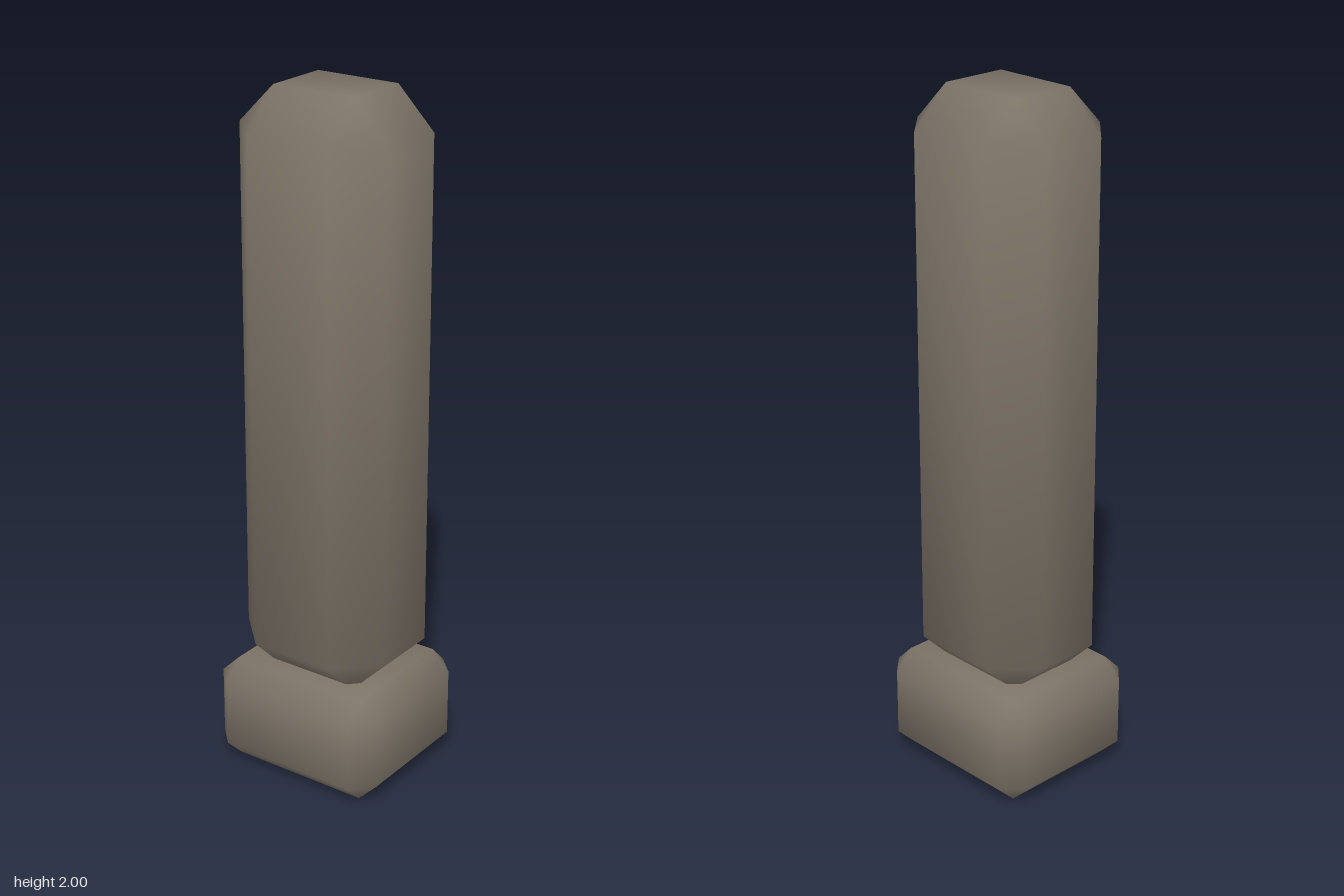
import * as THREE from 'three';
import { ConvexGeometry } from 'three/addons/geometries/ConvexGeometry.js';

// Box with every edge cut by one bevel and soft normals across all faces
function bevelledBox(hx, hy, hz, bevel) {
  const half = [hx, hy, hz];
  const points = [];
  for (const sx of [-1, 1]) for (const sy of [-1, 1]) for (const sz of [-1, 1]) {
    const sign = [sx, sy, sz];
    // each corner becomes three points, one on each adjoining face
    for (let axis = 0; axis < 3; axis++) {
      points.push(new THREE.Vector3(...half.map((h, i) => sign[i] * (i === axis ? h : h - bevel))));
    }
  }
  const geometry = new ConvexGeometry(points);

  // Blend each normal between its own face, the two bevels and the corner
  const pos = geometry.attributes.position;
  const normal = geometry.attributes.normal;
  for (let i = 0; i < pos.count; i++) {
    const p = [pos.getX(i), pos.getY(i), pos.getZ(i)];
    const n = p.map((v, k) => Math.sign(v) * (Math.abs(v) > half[k] - bevel / 2 ? 0.876 : 0.342));
    normal.setXYZ(i, ...n);
  }
  geometry.normalizeNormals();
  return geometry;
}

export function createModel() {
  const model = new THREE.Group();
  model.name = 'stonePost';
  const stone = new THREE.MeshStandardMaterial({ color: 0x7d7468 });

  const addBlock = (name, hx, hz, bottom, top, bevel) => {
    const mesh = new THREE.Mesh(bevelledBox(hx, (top - bottom) / 2, hz, bevel), stone);
    mesh.name = name;
    mesh.position.y = (top + bottom) / 2;
    model.add(mesh);
  };

  addBlock('base', 0.243, 0.272, 0, 0.317, 0.057);
  // the shaft's lower bevel sinks a little into the base
  addBlock('shaft', 0.213, 0.243, 0.287, 2, 0.114);

  return model;
}
